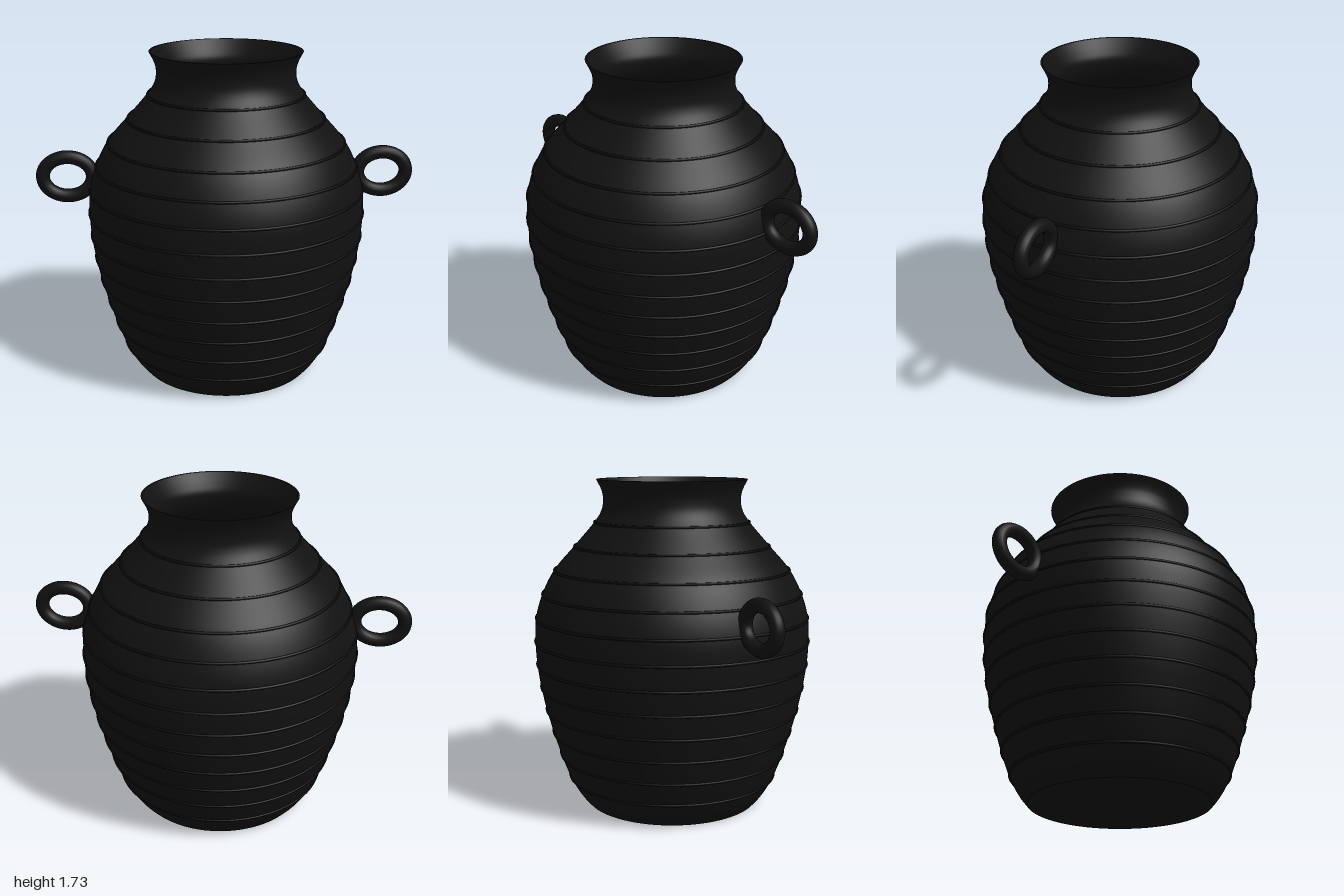
import * as THREE from 'three';

const SEGMENTS = 96;

// Smooth lathe through a few [radius, height] points
function spline(points) {
  return new THREE.SplineCurve(points.map(([r, y]) => new THREE.Vector2(r, y)));
}

export function createModel() {
  const group = new THREE.Group();
  const clay = new THREE.MeshStandardMaterial({ color: 0x111111 });
  clay.name = 'black clay';
  const groove = new THREE.MeshStandardMaterial({ color: 0x0a0a0a });
  groove.name = 'deep black';

  function add(name, geometry, material = clay) {
    const mesh = new THREE.Mesh(geometry, material);
    mesh.name = name;
    group.add(mesh);
    return mesh;
  }
  const lathe = (points) => new THREE.LatheGeometry(points, SEGMENTS);

  // Outer wall, from foot to flared lip
  const outer = spline([
    [0.465, 0], [0.51, 0.055], [0.558, 0.14], [0.605, 0.265], [0.643, 0.39],
    [0.676, 0.51], [0.702, 0.635], [0.72, 0.76], [0.727, 0.885], [0.72, 1.01],
    [0.685, 1.13], [0.62, 1.255], [0.512, 1.38], [0.405, 1.505],
    [0.367, 1.57], [0.36, 1.63], [0.37, 1.675], [0.395, 1.725],
  ]).getPoints(102);
  add('outerWall', lathe(outer));

  // Inner wall, from lip down to the floor
  const inner = spline([
    [0.385, 1.725], [0.35, 1.67], [0.33, 1.62], [0.34, 1.56], [0.375, 1.5],
    [0.48, 1.375], [0.585, 1.255], [0.65, 1.13], [0.69, 0.9], [0.665, 0.63],
    [0.605, 0.39], [0.52, 0.14], [0.44, 0.04],
  ]).getPoints(72);
  add('innerWall', lathe(inner));
  add('lip', lathe([new THREE.Vector2(0.395, 1.725), new THREE.Vector2(0.385, 1.725)]));
  add('floor', lathe([new THREE.Vector2(0.44, 0.04), new THREE.Vector2(0, 0.04)]));
  add('base', lathe([new THREE.Vector2(0, 0), new THREE.Vector2(0.465, 0)]));

  // Fine raised bands at equal heights around the body
  function radiusAt(y) {
    const i = outer.findIndex((p) => p.y >= y);
    const a = outer[i - 1], b = outer[i];
    return THREE.MathUtils.mapLinear(y, a.y, b.y, a.x, b.x);
  }
  for (let i = 0; i < 12; i++) {
    const y = 0.14 + i * 0.124;
    const band = add('band', new THREE.TorusGeometry(radiusAt(y), 0.007, 8, SEGMENTS), groove);
    band.rotation.x = Math.PI / 2;
    band.position.y = y;
  }

  // Oval ring handles on both sides
  for (const [name, side] of [['leftHandle', 1], ['rightHandle', -1]]) {
    const path = new THREE.CatmullRomCurve3(Array.from({ length: 24 }, (_, i) => {
      const a = (i / 24) * Math.PI * 2;
      return new THREE.Vector3(Math.cos(a) * 0.13, Math.sin(a) * 0.105, 0);
    }), true);
    const handle = add(name, new THREE.TubeGeometry(path, 64, 0.036, 16, true));
    handle.position.set(side * 0.834, 1.07, 0);
  }
  return group;
}
